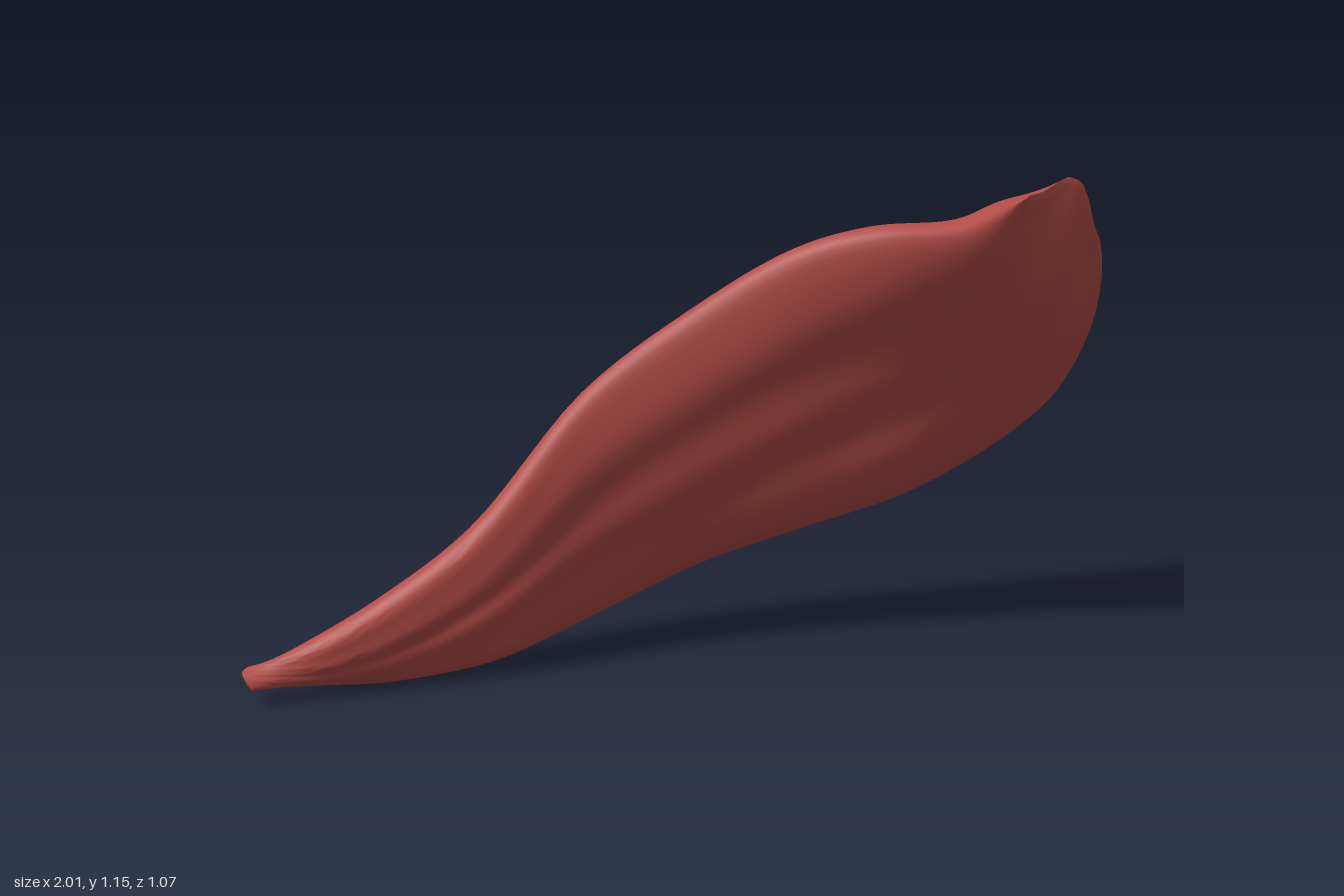
import * as THREE from 'three';
import { toCreasedNormals } from 'three/addons/utils/BufferGeometryUtils.js';

// Cross-sections from the narrow tip to the broad end:
// half thickness, then midline points from upper edge to lower edge.
const SECTIONS = [
  [0.015, [-0.99, 0.08, 0.475], [-1, 0.065, 0.5], [-0.97, 0.045, 0.53]],
  [0.045, [-0.85, 0.135, 0.45], [-0.85, 0.08, 0.425], [-0.85, 0.02, 0.41]],
  [0.065, [-0.7, 0.22, 0.388], [-0.7, 0.11, 0.34], [-0.7, 0, 0.32]],
  [0.08, [-0.5, 0.37, 0.295], [-0.5, 0.2, 0.235], [-0.47, 0.025, 0.235]],
  [0.085, [-0.25, 0.68, 0.165], [-0.25, 0.36, 0.095], [-0.25, 0.1, 0.095]],
  [0.1, [0, 0.87, 0.12], [0, 0.53, 0.01], [0, 0.2, -0.045]],
  [0.115, [0.25, 1.02, 0.125], [0.25, 0.65, -0.045], [0.25, 0.28, -0.11]],
  [0.13, [0.43, 1.07, 0.135], [0.48, 0.72, -0.11], [0.5, 0.36, -0.17]],
  [0.11, [0.62, 1.08, 0.13], [0.7, 0.93, -0.08], [0.74, 0.7, -0.24], [0.74, 0.475, -0.3]],
  [0.085, [0.7, 1.105, 0.1], [0.79, 1.02, -0.14], [0.87, 0.81, -0.32], [0.87, 0.565, -0.39]],
  [0.012, [0.77, 1.14, 0.06], [0.82, 1.12, -0.13], [0.92, 1.13, -0.31], [0.95, 1.04, -0.34],
    [0.99, 0.95, -0.51], [1, 0.85, -0.53], [0.98, 0.73, -0.505], [0.94, 0.64, -0.455]],
];
const N = 28; // steps across each face
const STEPS = 60; // steps along the length
const ALONG = new THREE.Vector3(0.85, 0.3, -0.42).normalize();

// Closed elliptical ring: down the front face, then up the back face
function ring([half, ...pts], s) {
  const mid = new THREE.CatmullRomCurve3(pts.map((p) => new THREE.Vector3(...p)));
  const out = [];
  for (let j = 0; j < 2 * N; j++) {
    const angle = (Math.PI * j) / N;
    const t = (1 - Math.cos(angle)) / 2;
    const normal = new THREE.Vector3().crossVectors(ALONG, mid.getTangentAt(t).negate()).normalize();
    // Shallow lengthwise fibres, drifting slightly along the body
    const fibre = 1 + 0.05 * Math.sin(t * 19 + s * 0.7 + (j <= N ? 0 : 2));
    out.push(mid.getPointAt(t).addScaledVector(normal, half * Math.sin(angle) * fibre));
  }
  return out;
}

function bodyGeometry() {
  const rings = SECTIONS.map(ring);
  const R = 2 * N;
  const rails = [];
  for (let j = 0; j < R; j++) rails.push(new THREE.CatmullRomCurve3(rings.map((r) => r[j])));

  const positions = [];
  for (let i = 0; i <= STEPS; i++) {
    for (const rail of rails) positions.push(...rail.getPoint(i / STEPS).toArray());
  }

  const index = [];
  const quad = (a, b, c, d) => index.push(a, b, c, b, d, c);
  for (let i = 0; i < STEPS; i++) {
    for (let j = 0; j < R; j++) {
      const k = (j + 1) % R;
      quad(i * R + j, i * R + k, (i + 1) * R + j, (i + 1) * R + k);
    }
  }
  // End faces join the front half of the ring to the back half
  const last = STEPS * R;
  for (let j = 0; j < N; j++) {
    const b0 = (R - j) % R, b1 = R - j - 1;
    quad(b0, b1, j, j + 1);
    quad(last + j, last + j + 1, last + b0, last + b1);
  }

  const geometry = new THREE.BufferGeometry();
  geometry.setAttribute('position', new THREE.Float32BufferAttribute(positions, 3));
  geometry.setIndex(index);
  return toCreasedNormals(geometry, 1);
}

export function createModel() {
  const group = new THREE.Group();
  group.name = 'muscle';
  const red = new THREE.MeshStandardMaterial({ color: 0xb24c47 });
  red.name = 'muscle red';
  const body = new THREE.Mesh(bodyGeometry(), red);
  body.name = 'muscleBody';
  group.add(body);
  return group;
}
